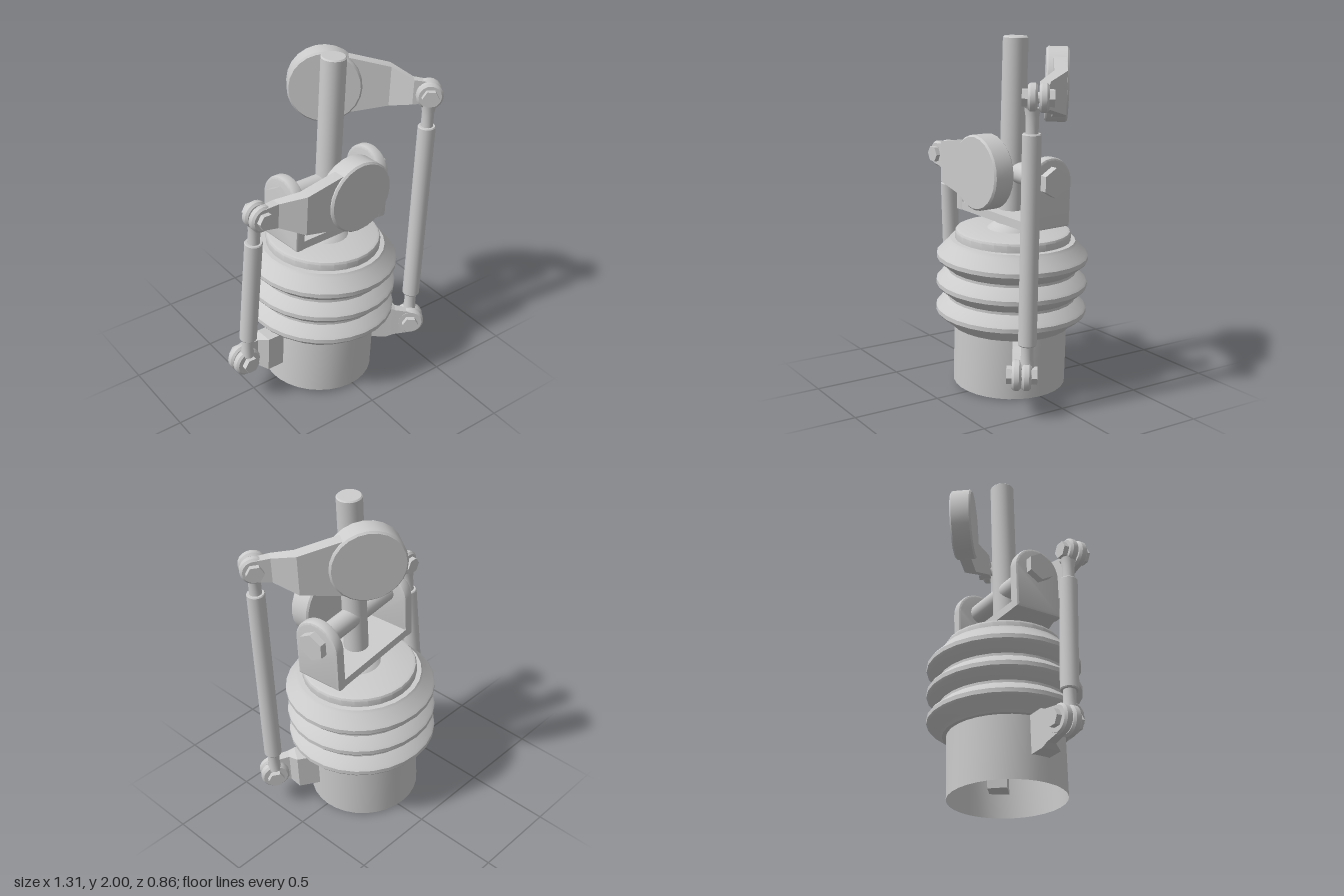
import * as THREE from 'three';
import { toCreasedNormals } from 'three/addons/utils/BufferGeometryUtils.js';

const material = new THREE.MeshStandardMaterial({ color: 0xcccccc, side: THREE.DoubleSide });

function add(parent, name, geometry, x = 0, y = 0, z = 0, crease = 0.5) {
  const mesh = new THREE.Mesh(toCreasedNormals(geometry, crease), material);
  mesh.name = name;
  mesh.position.set(x, y, z);
  parent.add(mesh);
  return mesh;
}

function group(parent, name, x = 0, y = 0, z = 0, yaw = 0) {
  const g = new THREE.Group();
  g.name = name;
  g.position.set(x, y, z);
  g.rotation.y = yaw;
  parent.add(g);
  return g;
}

const lathe = (points, sides) =>
  new THREE.LatheGeometry(points.map(([r, y]) => new THREE.Vector2(r, y)), sides);

// Solid disc along z with softened rims
function disc(radius, thickness, bevel, sides) {
  const h = thickness / 2;
  return lathe([
    [0, -h], [radius - bevel, -h], [radius, -h + bevel],
    [radius, h - bevel], [radius - bevel, h], [0, h],
  ], sides).rotateX(Math.PI / 2);
}

const hex = (radius, height) =>
  new THREE.CylinderGeometry(radius, radius, height, 6).rotateY(Math.PI / 6);

// Bar along x whose rectangular section follows stations [x, z, half height, thickness]
function bar(stations) {
  const n = stations.length - 1;
  const geometry = new THREE.BoxGeometry(1, 1, 1, n, 1, 1);
  const p = geometry.attributes.position;
  for (let i = 0; i < p.count; i++) {
    const [x, z, h, t] = stations[Math.round((p.getX(i) + 0.5) * n)];
    p.setXYZ(i, x, p.getY(i) * 2 * h, z + p.getZ(i) * t);
  }
  return geometry;
}

// Bolt along z with a hexagon at each end
function bolt(parent, x, z) {
  add(parent, 'boltShank', new THREE.CylinderGeometry(0.028, 0.028, 0.14, 12).rotateX(Math.PI / 2), x, 0, z);
  for (const side of [-1, 1]) {
    add(parent, 'boltHead', hex(0.048, 0.03).rotateX(Math.PI / 2), x, 0, z + side * 0.068);
  }
}

// Push rod between two eyes
function pushRod(parent, bottom, top, yaw) {
  const rod = group(parent, 'pushRod');
  [[bottom, 0.083], [top, 0.075]].forEach(([p, r]) => {
    add(rod, 'rodEye', disc(r, 0.05, 0.012, 20), p.x, p.y, p.z).rotation.y = yaw;
  });
  const direction = top.clone().sub(bottom);
  const length = direction.length();
  const stem = add(rod, 'rodStem', lathe([
    [0.04, 0.05], [0.034, 0.1], [0.034, 0.17], [0.046, 0.17], [0.05, 0.176],
    [0.05, length - 0.186], [0.046, length - 0.18], [0.034, length - 0.18],
    [0.034, length - 0.1], [0.042, length - 0.05],
  ], 16), bottom.x, bottom.y, bottom.z);
  stem.quaternion.setFromUnitVectors(new THREE.Vector3(0, 1, 0), direction.normalize());
}

// Cam with bent arm, base bracket and the rod joining them (arm along local +x)
function linkage(parent, name, cam, bracketZ, yaw) {
  const g = group(parent, name);

  const lever = group(g, 'camLever', ...cam, yaw);
  add(lever, 'camDisc', disc(0.207, 0.125, 0.01, 24));
  add(lever, 'camArm', bar([
    [0.05, -0.01, 0.17, 0.07], [0.14, -0.01, 0.16, 0.07], [0.36, -0.01, 0.115, 0.07],
    [0.48, 0.07, 0.072, 0.055], [0.565, 0.075, 0.062, 0.046],
  ]), 0, 0, 0, 0.2);
  add(lever, 'armEye', disc(0.075, 0.05, 0.012, 20), 0.565, 0, 0.075);
  bolt(lever, 0.565, 0.105);

  const bracket = group(g, 'baseBracket', 0, 0.245, 0, yaw);
  const z = bracketZ;
  add(bracket, 'bracketBlock', bar([
    [0.2, z, 0.107, 0.11], [0.42, z, 0.107, 0.11],
    [0.46, z + 0.026, 0.09, 0.055], [0.555, z + 0.028, 0.074, 0.046],
  ]), 0, 0, 0, 0.2);
  add(bracket, 'bracketEye', disc(0.083, 0.05, 0.012, 20), 0.555, 0, z + 0.028);
  bolt(bracket, 0.555, z);

  lever.updateMatrix();
  bracket.updateMatrix();
  pushRod(g,
    new THREE.Vector3(0.555, 0, z - 0.026).applyMatrix4(bracket.matrix),
    new THREE.Vector3(0.565, 0, 0.133).applyMatrix4(lever.matrix), yaw);
}

// U-shaped yoke with a cross pin
function yoke(parent) {
  const g = group(parent, 'yoke', 0, 0, 0.015, 0.085);
  const bevel = 0.015, w = 0.145 - bevel;
  const cheek = new THREE.Shape();
  cheek.moveTo(-w, 0.97 + bevel);
  cheek.lineTo(w, 0.97 + bevel);
  cheek.lineTo(w, 1.22);
  cheek.absarc(0, 1.22, w, 0, Math.PI, false);
  cheek.closePath();
  for (const side of [-1, 1]) {
    const geometry = new THREE.ExtrudeGeometry(cheek, {
      depth: 0.035, bevelSize: bevel, bevelThickness: bevel, bevelSegments: 2, curveSegments: 16,
    }).translate(0, 0, -0.0175).rotateY(Math.PI / 2);
    add(g, 'yokeCheek', geometry, side * 0.303);
    add(g, 'pinHead', hex(0.083, 0.045).rotateZ(Math.PI / 2), side * 0.355, 1.235);
  }
  add(g, 'yokeFloor', new THREE.BoxGeometry(0.6, 0.048, 0.285), 0, 0.995);
  add(g, 'crossPin', new THREE.CylinderGeometry(0.06, 0.06, 0.66, 20).rotateZ(Math.PI / 2), 0, 1.235);
}

export function createModel() {
  const model = new THREE.Group();
  model.name = 'bellowsActuator';

  // The whole assembly leans slightly to one side
  const body = group(model, 'body', -0.035, 0.016, 0);
  body.rotation.z = -0.05;

  add(body, 'baseTube', new THREE.CylinderGeometry(0.323, 0.323, 0.37, 32, 1, true), 0, 0.185);

  // Pleated boot
  const boot = [[0.3, 0.35], [0.345, 0.352], [0.36, 0.37]];
  for (let i = 0; i < 3; i++) {
    const y = 0.44 + i * 0.155;
    boot.push([0.42, y - 0.025], [0.43, y - 0.012], [0.43, y + 0.012], [0.42, y + 0.025]);
    if (i < 2) boot.push([0.366, y + 0.07], [0.366, y + 0.085]);
  }
  boot.push([0.365, 0.83], [0.355, 0.846], [0.328, 0.848], [0.328, 0.885],
    [0.322, 0.897], [0.308, 0.903], [0.1, 0.91]);
  add(body, 'boot', lathe(boot, 28));

  add(body, 'neck', lathe([
    [0.14, 0.9], [0.132, 0.912], [0.11, 0.93], [0.09, 0.945], [0.088, 0.98],
  ], 24), 0, 0, 0.015);
  add(body, 'shaft', lathe([
    [0, 0.95], [0.07, 0.95], [0.07, 1.972], [0.063, 1.979], [0, 1.979],
  ], 24), 0, 0, 0.018);
  yoke(body);

  linkage(body, 'lowLinkage', [0.028, 1.252, 0.225], -0.01, Math.PI + 0.045);
  linkage(body, 'highLinkage', [0.104, 1.721, -0.19], -0.072, -0.593);

  return model;
}
